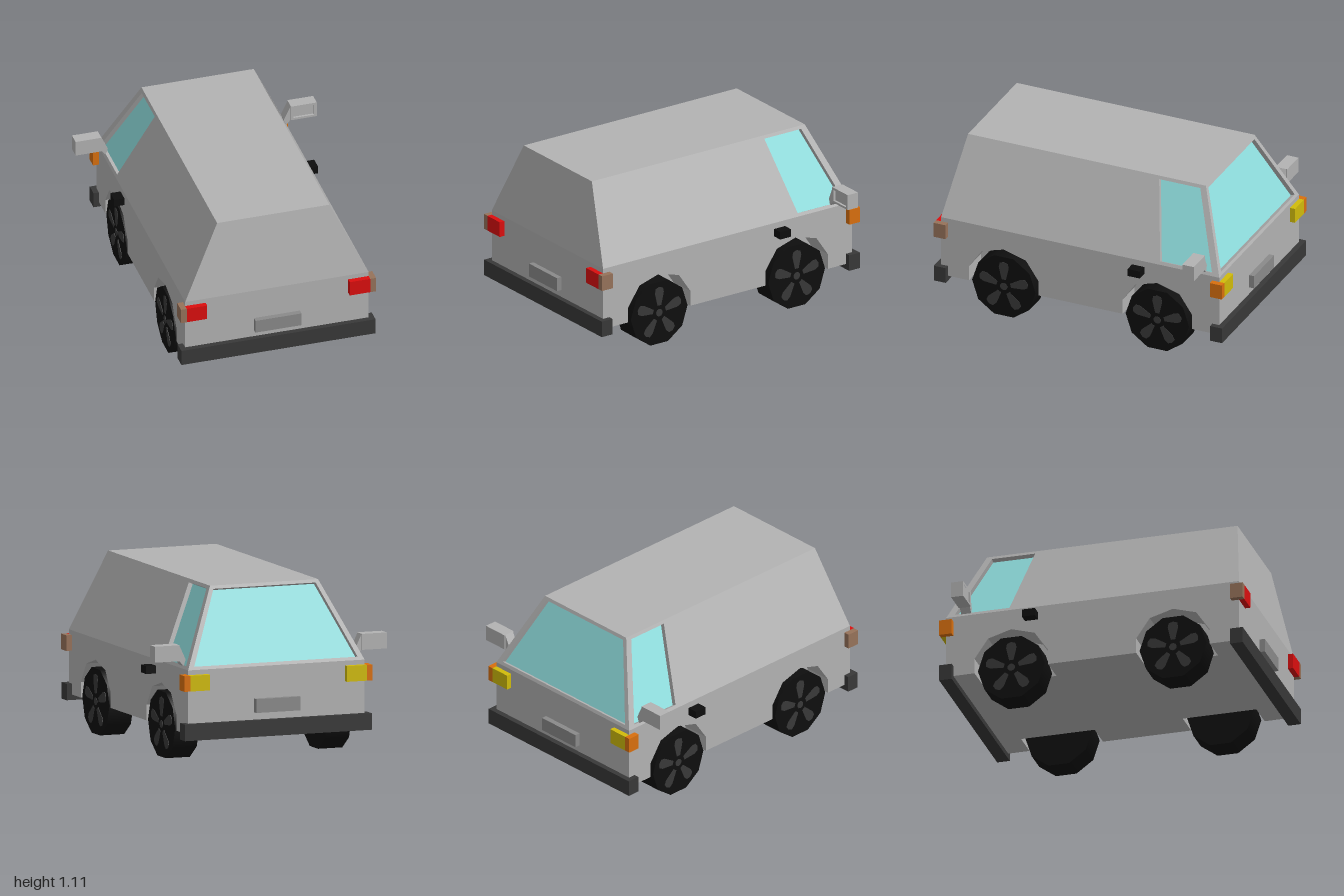
import * as THREE from 'three';

const mat = (name, color) => {
  const m = new THREE.MeshStandardMaterial({ color });
  m.name = name;
  return m;
};

export function createModel() {
  const paint = mat('greyPaint', 0xb2b2b2);
  const glass = mat('tealGlass', 0x8fdede);
  const red = mat('redLamp', 0xdb0e0e);
  const orange = mat('orangeLamp', 0xd86f0e);
  const brown = mat('brownLamp', 0x96725a);
  const yellow = mat('yellowLamp', 0xd0bb0a);
  const black = mat('blackRubber', 0x0e0e0e);
  const dark = mat('darkTrim', 0x383838);
  const plateGrey = mat('plateGrey', 0x8a8a8a);

  const van = new THREE.Group();
  van.name = 'van';
  const add = (name, geo, material, parent = van) => {
    const m = new THREE.Mesh(geo, material);
    m.name = name;
    parent.add(m);
    return m;
  };
  // box given by its min and max on each axis
  const box = (name, material, x0, x1, y0, y1, z0, z1) => {
    const g = new THREE.BoxGeometry(Math.abs(x1 - x0), y1 - y0, Math.abs(z1 - z0));
    g.translate((x0 + x1) / 2, (y0 + y1) / 2, (z0 + z1) / 2);
    return add(name, g, material);
  };
  // flat-shaded surface from a list of four-corner faces
  const quads = (faces) => {
    const p = [];
    for (const [a, b, c, d] of faces) p.push(...a, ...b, ...c, ...a, ...c, ...d);
    const g = new THREE.BufferGeometry();
    g.setAttribute('position', new THREE.Float32BufferAttribute(p, 3));
    g.computeVertexNormals();
    return g;
  };
  const ring = (o, i) => o.map((_, k) => {
    const n = (k + 1) % 4;
    return [o[k], o[n], i[n], i[k]];
  });
  // panel with a recessed pane: frame, reveal and glass
  const windowPanel = (name, outer, hole, inset) => {
    const pane = hole.map((p) => p.map((v, k) => v + inset[k]));
    add(name + 'Frame', quads([...ring(outer, hole), ...ring(hole, pane)]), paint);
    add(name + 'Glass', quads([pane]), glass);
  };
  const mirrorX = (pts) => pts.map(([x, y, z]) => [-x, y, z]).reverse();

  // main dimensions
  const W = 0.605, L = 0.965, belt = 0.61, floor = 0.2;
  const roofW = 0.37, roofY = 1.11, roofBack = 0.885, roofFront = -0.765;
  const wallX = (y) => W - (y - belt) * (W - roofW) / (roofY - belt);
  const screenZ = (y) => -L + (y - belt) * (L + roofFront) / (roofY - belt);

  // upper body
  add('roof', quads([[[-roofW, roofY, roofBack], [roofW, roofY, roofBack],
    [roofW, roofY, roofFront], [-roofW, roofY, roofFront]]]), paint);
  add('tailPanel', quads([[[-W, belt, L], [W, belt, L],
    [roofW, roofY, roofBack], [-roofW, roofY, roofBack]]]), paint);
  const side = [[W, belt, L], [W, belt, -L], [roofW, roofY, roofFront], [roofW, roofY, roofBack]];
  const sideHole = [[0.63, -0.55], [0.63, -0.91], [1.09, -0.73], [1.09, -0.445]]
    .map(([y, z]) => [wallX(y), y, z]);
  windowPanel('leftSide', side, sideHole, [-0.027, -0.013, 0]);
  windowPanel('rightSide', mirrorX(side), mirrorX(sideHole), [0.027, -0.013, 0]);
  windowPanel('windscreen',
    [[W, belt, -L], [-W, belt, -L], [-roofW, roofY, roofFront], [roofW, roofY, roofFront]],
    [[0.56, 0.63], [-0.56, 0.63], [-0.35, 1.09], [0.35, 1.09]].map(([x, y]) => [x, y, screenZ(y)]),
    [0, -0.012, 0.028]);

  // lower body: a core with side slabs notched for the wheels
  const innerX = 0.42, wheelZ = [-0.535, 0.53];
  box('lowerBodyCore', paint, -innerX, innerX, floor, belt, -L, L);
  const arch = [[-0.242, 0.2], [-0.242, 0.3], [-0.153, 0.43], [0, 0.475],
    [0.153, 0.43], [0.242, 0.3], [0.242, 0.2]];
  const slab = new THREE.Shape();
  slab.moveTo(-L, floor);
  for (const z of wheelZ) for (const [u, y] of arch) slab.lineTo(z + u, y);
  slab.lineTo(L, floor);
  slab.lineTo(L, belt);
  slab.lineTo(-L, belt);
  for (const s of [-1, 1]) {
    const g = new THREE.ExtrudeGeometry(slab, { depth: W - innerX, bevelEnabled: false });
    g.rotateY(-Math.PI / 2).translate(s > 0 ? W : -innerX, 0, 0);
    add('lowerSide', g, paint);
  }

  // wheels with five petal spokes
  const petal = new THREE.Shape([[-0.014, 0.05], [0.014, 0.05], [0.034, 0.135], [0.028, 0.165],
    [0, 0.175], [-0.028, 0.165], [-0.034, 0.135]].map(([x, y]) => new THREE.Vector2(x, y)));
  const wheel = (s, z) => {
    const g = new THREE.Group();
    g.name = 'wheel';
    add('tyre', new THREE.CylinderGeometry(0.22, 0.22, 0.165, 10).rotateZ(Math.PI / 2), black, g);
    const face = new THREE.Group();
    face.name = 'wheelFace';
    face.rotation.y = s * Math.PI / 2;
    face.position.x = s * 0.0825;
    for (let i = 0; i < 5; i++) {
      const spoke = add('spoke', new THREE.ExtrudeGeometry(petal, { depth: 0.003, bevelEnabled: false }), dark, face);
      spoke.rotation.z = i * Math.PI * 2 / 5;
    }
    add('hubCap', new THREE.CylinderGeometry(0.025, 0.025, 0.006, 10).rotateX(Math.PI / 2), dark, face);
    g.add(face);
    g.position.set(s * 0.522, 0.21, z);
    van.add(g);
  };

  // door mirrors
  const rect = (T, x0, y0, x1, y1) => {
    const r = new T();
    r.moveTo(x0, y0).lineTo(x1, y0).lineTo(x1, y1).lineTo(x0, y1).closePath();
    return r;
  };
  const extrudeZ = (shape, z0, z1) =>
    new THREE.ExtrudeGeometry(shape, { depth: z1 - z0, bevelEnabled: false }).translate(0, 0, z0);
  const doorMirror = (s) => {
    box('mirrorHousing', paint, s * 0.625, s * 0.795, 0.658, 0.76, -0.875, -0.81);
    const rim = rect(THREE.Shape, s * 0.625, 0.658, s * 0.795, 0.76);
    rim.holes.push(rect(THREE.Path, s * 0.642, 0.672, s * 0.778, 0.745));
    add('mirrorRim', extrudeZ(rim, -0.81, -0.795), paint);
    const arm = new THREE.Shape([[0.625, 0.76], [0.625, 0.66], [0.595, 0.622], [0.58, 0.665]]
      .map(([x, y]) => new THREE.Vector2(s * x, y)));
    add('mirrorArm', extrudeZ(arm, -0.868, -0.802), paint);
  };

  for (const s of [-1, 1]) {
    for (const z of wheelZ) wheel(s, z);
    doorMirror(s);
    box('doorHandle', black, s * 0.6, s * 0.672, 0.52, 0.57, -0.445, -0.36);
    // lamps at both ends
    for (const e of [-1, 1]) {
      box('mainLamp', e > 0 ? red : yellow, s * 0.47, s * W, 0.48, 0.58, e * 0.96, e);
      box('cornerLamp', e > 0 ? brown : orange, s * W, s * 0.643, 0.48, 0.58, e * 0.917, e);
    }
  }

  // bumpers and blank plates
  for (const e of [-1, 1]) {
    box('bumper', dark, -0.64, 0.64, 0.165, 0.27, e * 0.917, e);
    box('endPlate', plateGrey, -0.152, 0.152, 0.317, 0.405, e * 0.96, e);
  }
  return van;
}
